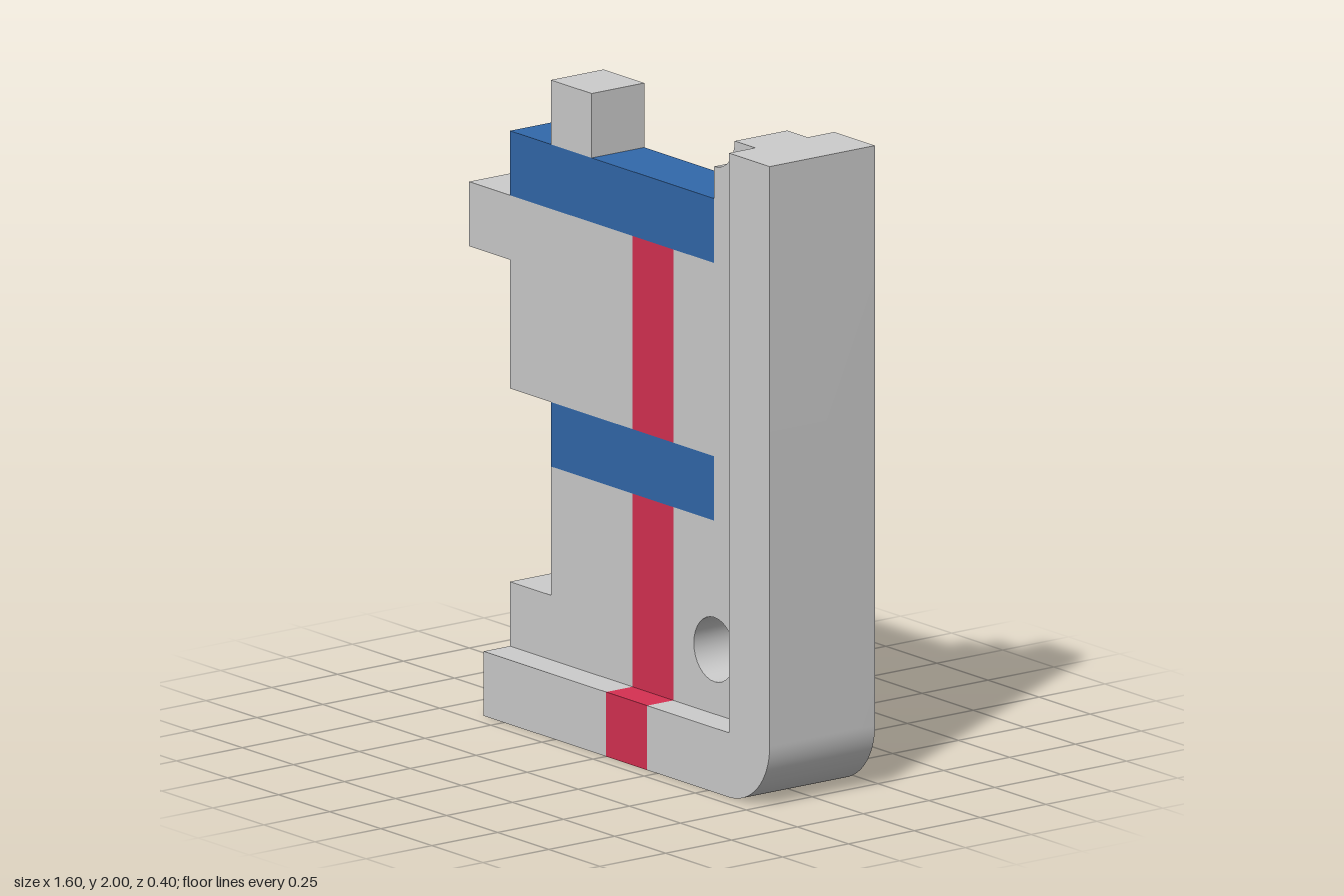
import * as THREE from 'three';
import { toCreasedNormals } from 'three/addons/utils/BufferGeometryUtils.js';

const GREY = new THREE.MeshStandardMaterial({ color: 0xcccccc });
const BLUE = new THREE.MeshStandardMaterial({ color: 0x3268aa });
const RED = new THREE.MeshStandardMaterial({ color: 0xd53052 });

const THIN = 0.2; // panel depth
const DEEP = 0.4; // frame depth

const outline = (points) => new THREE.Shape(points.map(([x, y]) => new THREE.Vector2(x, y)));

export function createModel() {
  const group = new THREE.Group();

  const add = (name, geometry, material) => {
    const mesh = new THREE.Mesh(geometry, material);
    mesh.name = name;
    group.add(mesh);
  };

  // Block given by its left, right, bottom and top edges, centred on z
  const block = (name, x0, x1, y0, y1, depth, material) => {
    const geometry = new THREE.BoxGeometry(x1 - x0, y1 - y0, depth);
    geometry.translate((x0 + x1) / 2, (y0 + y1) / 2, 0);
    add(name, geometry, material);
  };

  // Slab cut from an outline, centred on z
  const slab = (name, shape, depth) => {
    const geometry = new THREE.ExtrudeGeometry(shape, { depth, bevelEnabled: false, curveSegments: 16 });
    geometry.translate(0, 0, -depth / 2);
    add(name, toCreasedNormals(geometry, 0.6), GREY);
  };

  // Deep frame: base and upright joined by a rounded outer corner
  block('frameBaseLeft', -0.6, 0, 0, 0.2, DEEP, GREY);
  const frame = new THREE.Shape();
  frame.moveTo(0.2, 0);
  frame.lineTo(0.6, 0);
  frame.absarc(0.6, 0.2, 0.2, -Math.PI / 2, 0, false);
  frame.lineTo(0.8, 2);
  frame.lineTo(0.6, 2);
  frame.lineTo(0.6, 0.2);
  frame.lineTo(0.2, 0.2);
  frame.closePath();
  slab('frameCornerAndUpright', frame, DEEP);

  // Thin panel, beside the red strip on -x
  slab('panelLowerLeft', outline([[-0.6, 0.2], [0, 0.2], [0, 0.8], [-0.4, 0.8], [-0.4, 0.4], [-0.6, 0.4]]), THIN);
  slab('panelUpperLeft', outline([[-0.6, 1], [0, 1], [0, 1.6], [-0.8, 1.6], [-0.8, 1.4], [-0.6, 1.4]]), THIN);
  block('topTab', -0.4, -0.2, 1.8, 2, THIN, GREY);

  // Thin panel on +x, with round hole and scooped top corner
  const panel = outline([[0.2, 0.2], [0.6, 0.2], [0.6, 2], [0.5, 2]]);
  panel.absarc(0.4, 2, 0.1, 0, -Math.PI / 2, true);
  for (const [x, y] of [[0.4, 1.6], [0.2, 1.6], [0.2, 1], [0.4, 1], [0.4, 0.8], [0.2, 0.8]]) panel.lineTo(x, y);
  panel.closePath();
  panel.holes.push(new THREE.Path().absarc(0.4, 0.4, 0.1, 0, Math.PI * 2, true));
  slab('panelRight', panel, THIN);

  // Blue cross bars
  block('upperBar', -0.6, 0.4, 1.6, 1.8, THIN, BLUE);
  block('lowerBar', -0.4, 0.4, 0.8, 1, THIN, BLUE);

  // Red vertical strip
  block('stripBase', 0, 0.2, 0, 0.2, DEEP, RED);
  block('stripLower', 0, 0.2, 0.2, 0.8, THIN, RED);
  block('stripUpper', 0, 0.2, 1, 1.6, THIN, RED);

  return group;
}
